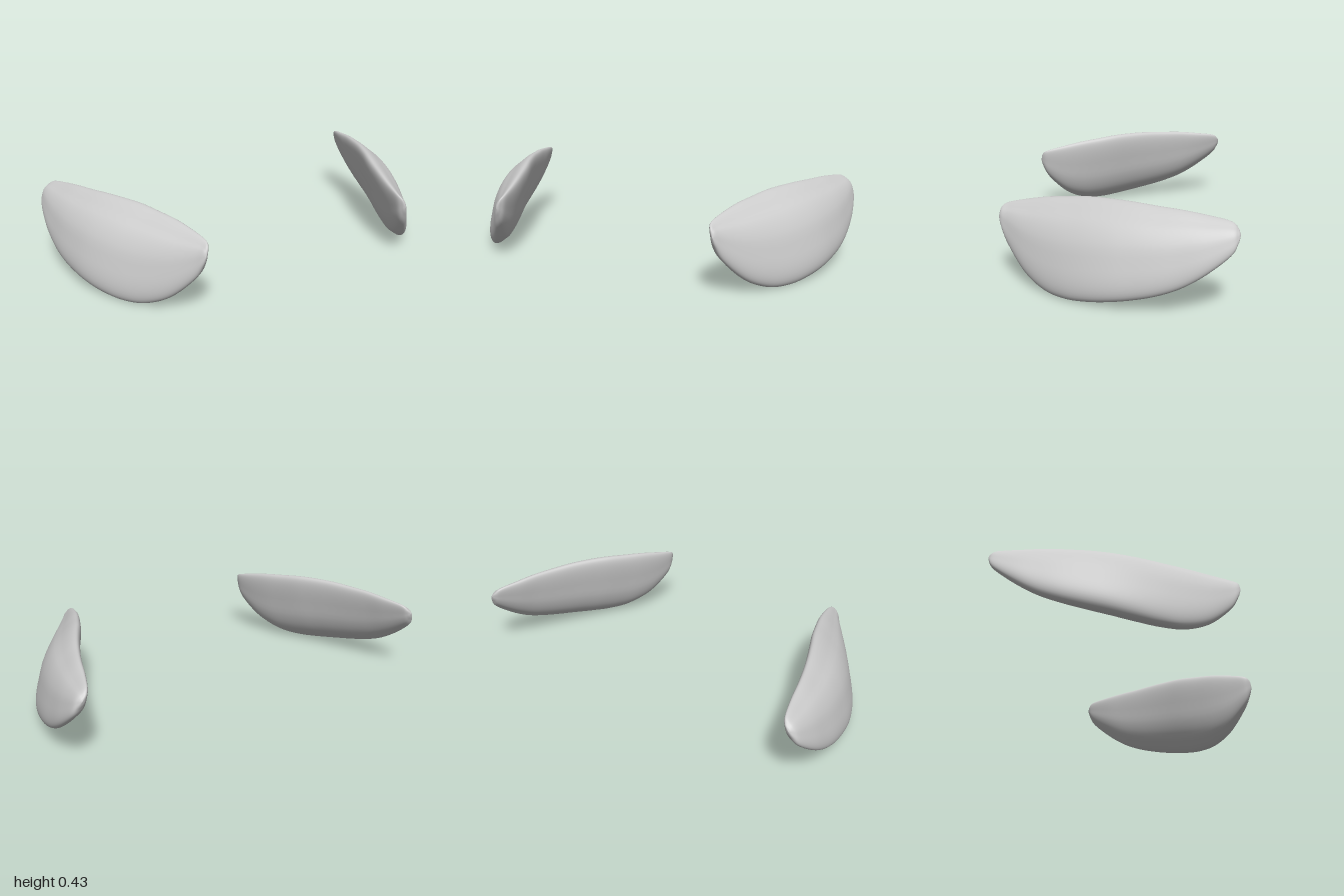
import * as THREE from 'three';

// Stations from back to front: z, bottom y, top y, inner x, outer x
const STATIONS = [
  [-0.54, 0.347, 0.347, 0.94, 0.94],
  [-0.53, 0.314, 0.371, 0.916, 0.961],
  [-0.5, 0.264, 0.394, 0.896, 0.982],
  [-0.4, 0.182, 0.409, 0.86, 0.998],
  [-0.3, 0.12, 0.42, 0.83, 1.0],
  [-0.2, 0.08, 0.425, 0.795, 0.995],
  [-0.1, 0.052, 0.43, 0.755, 0.98],
  [0, 0.03, 0.43, 0.71, 0.957],
  [0.1, 0.012, 0.425, 0.663, 0.92],
  [0.2, 0.002, 0.412, 0.623, 0.868],
  [0.3, 0.013, 0.398, 0.587, 0.8],
  [0.4, 0.067, 0.377, 0.56, 0.717],
  [0.49, 0.172, 0.354, 0.545, 0.628],
  [0.525, 0.245, 0.332, 0.555, 0.592],
  [0.537, 0.29, 0.29, 0.573, 0.573],
];
const RINGS = 84, SIDES = 56;

const soft = (v) => Math.sign(v) * Math.abs(v) ** 0.85;

// Smooth rail through two columns of the station table
const rail = (a, b) => new THREE.CatmullRomCurve3(
  STATIONS.map((s) => new THREE.Vector3(s[a], s[b], s[0])), false, 'catmullrom');

// Loft of rounded sections; the phase shift tips the top edge inwards and the bottom edge outwards
function shellGeometry(side) {
  const heights = rail(1, 2), widths = rail(3, 4);
  const positions = [], index = [];
  for (let i = 0; i <= RINGS; i++) {
    const h = heights.getPoint(i / RINGS), w = widths.getPoint(i / RINGS);
    for (let j = 0; j < SIDES; j++) {
      const a = (j / SIDES) * Math.PI * 2;
      const lean = 0.78 + 0.12 * Math.sin(a);
      const x = (w.x + w.y) / 2 + ((w.y - w.x) / 2) * soft(Math.cos(a + lean));
      const y = (h.x + h.y) / 2 + ((h.y - h.x) / 2) * soft(Math.sin(a));
      positions.push(side * x, y, h.z);
      if (i === RINGS) continue;
      const p = i * SIDES + j, q = i * SIDES + ((j + 1) % SIDES);
      const r = p + SIDES, t = q + SIDES;
      if (side > 0) index.push(p, q, t, p, t, r);
      else index.push(p, t, q, p, r, t);
    }
  }
  const geometry = new THREE.BufferGeometry();
  geometry.setAttribute('position', new THREE.Float32BufferAttribute(positions, 3));
  geometry.setIndex(index);
  geometry.computeVertexNormals();
  // Tip vertices share one point, so give them the end direction
  const n = geometry.attributes.normal;
  for (let j = 0; j < SIDES; j++) {
    n.setXYZ(j, 0, 0, -1);
    n.setXYZ(RINGS * SIDES + j, 0, 0, 1);
  }
  return geometry;
}

export function createModel() {
  const model = new THREE.Group();
  model.name = 'curvedShellPair';
  const material = new THREE.MeshStandardMaterial({ color: 0xcccccc });
  for (const [name, side] of [['leftShell', 1], ['rightShell', -1]]) {
    const shell = new THREE.Mesh(shellGeometry(side), material);
    shell.name = name;
    model.add(shell);
  }
  return model;
}
